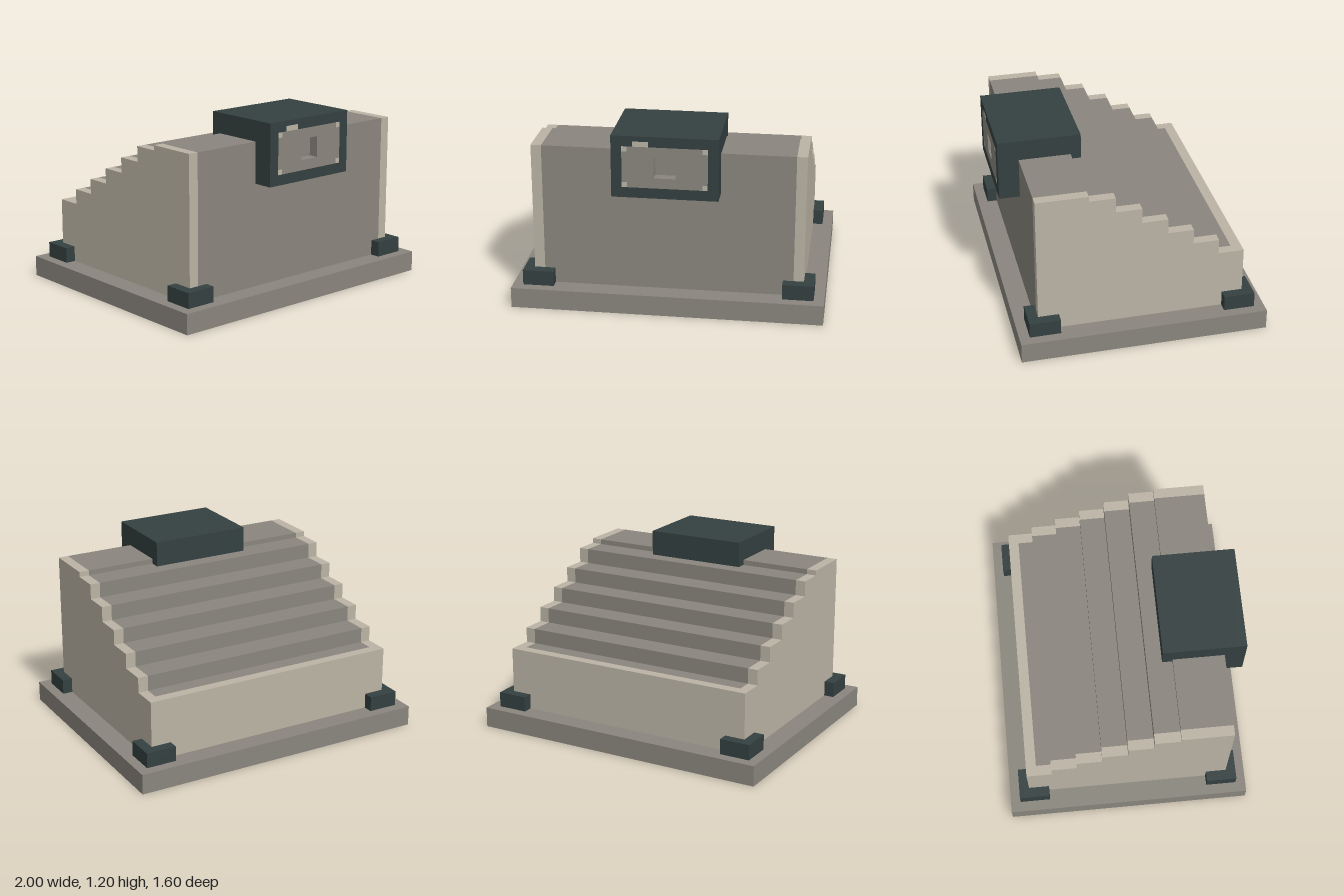
import * as THREE from 'three';

export function createModel() {
  const model = new THREE.Group();
  const stone = new THREE.MeshStandardMaterial({ name: 'grey stone', color: 0x8a867e });
  const trim = new THREE.MeshStandardMaterial({ name: 'pale stone', color: 0xbbb4a5 });
  const dark = new THREE.MeshStandardMaterial({ name: 'dark slate', color: 0x344040 });

  const add = (name, geometry, material, parent = model) => {
    const mesh = new THREE.Mesh(geometry, material);
    mesh.name = name;
    parent.add(mesh);
    return mesh;
  };
  // Box given by its lower and upper limits on each axis
  const box = (name, x0, x1, y0, y1, z0, z1, material, parent) => {
    const g = new THREE.BoxGeometry(x1 - x0, y1 - y0, z1 - z0);
    g.translate((x0 + x1) / 2, (y0 + y1) / 2, (z0 + z1) / 2);
    return add(name, g, material, parent);
  };
  const points = (list) => list.map(([x, y]) => new THREE.Vector2(x, y));

  // Base slab
  const baseTop = 0.1333;
  box('base', -1, 1, 0, baseTop, -0.8, 0.8, stone);

  // Stepped body: tall at the front, going down towards the back
  const treads = [1.0667, 1.0333, 0.9333, 0.8333, 0.7333, 0.6333, 0.5333];
  const edges = [0.6667, 0.3333, 0.1667, 0, -0.1667, -0.3333, -0.5, -0.6667];
  const steppedBlock = (name, x0, x1, backZ, material) => {
    const outline = [[-edges[0], baseTop]];
    treads.forEach((y, i) => {
      const end = Math.max(edges[i + 1], backZ);
      outline.push([-edges[i], y], [-end, y]);
    });
    outline.push([-backZ, baseTop]);
    const g = new THREE.ExtrudeGeometry(new THREE.Shape(points(outline)), {
      depth: x1 - x0, bevelEnabled: false,
    });
    g.rotateY(Math.PI / 2).translate(x0, 0, 0);
    return add(name, g, material);
  };
  steppedBlock('stairCore', -0.8, 0.8, -0.6, stone);
  steppedBlock('leftSideWall', 0.8, 0.8667, -0.6667, trim);
  steppedBlock('rightSideWall', -0.8667, -0.8, -0.6667, trim);
  box('backWall', -0.8, 0.8, baseTop, 0.5333, -0.6667, -0.6, trim);

  // Corner feet wrapped around the body
  for (const sx of [-1, 1]) {
    for (const sz of [-1, 1]) {
      const foot = add('cornerFoot', new THREE.BoxGeometry(0.2, 0.1, 0.2), dark);
      foot.position.set(sx * 0.8333, baseTop + 0.05, sz * 0.6333);
    }
  }

  // Housing that overhangs the top of the front
  const housing = new THREE.Group();
  housing.name = 'housing';
  model.add(housing);
  const faceZ = 0.7333, faceDepth = 0.0667;
  box('housingBlock', -0.3333, 0.3333, 0.8, 1.2, 0.2667, faceZ, dark, housing);

  const facePart = (name, outline, hole, material) => {
    const shape = new THREE.Shape(points(outline));
    shape.holes.push(new THREE.Path(points(hole)));
    const g = new THREE.ExtrudeGeometry(shape, { depth: faceDepth, bevelEnabled: false });
    add(name, g.translate(0, 0, faceZ), material, housing);
  };
  const rect = (x, y0, y1) => [[-x, y0], [x, y0], [x, y1], [-x, y1]];

  // Dark frame, with a notch for the tab above the panel
  facePart('frame', rect(0.3333, 0.8, 1.2), [
    [-0.2667, 0.8667], [-0.2667, 1.1333], [-0.2, 1.1333], [-0.2, 1.1667],
    [-0.1, 1.1667], [-0.1, 1.1333], [0.2667, 1.1333], [0.2667, 0.8667],
  ], dark);

  // Panel with cut corners and a square recess
  const a = 0.2333, b = 0.2667;
  facePart('panel', [
    [-a, 0.8667], [a, 0.8667], [a, 0.9], [b, 0.9], [b, 1.1], [a, 1.1],
    [a, 1.1333], [-a, 1.1333], [-a, 1.1], [-b, 1.1], [-b, 0.9], [-a, 0.9],
  ], rect(0.0667, 0.9333, 1.0667).reverse(), stone);
  box('recessBack', -0.0667, 0.0667, 0.9333, 1.0667, faceZ - 0.01, faceZ + 0.003, stone, housing);

  // Pale corner studs and tab, flush with the panel
  for (const x of [-b, a]) {
    for (const y of [0.8667, 1.1]) {
      box('panelCorner', x, x + b - a, y, y + 0.0333, faceZ, faceZ + faceDepth, trim, housing);
    }
  }
  box('panelTab', -0.2, -0.1, 1.1333, 1.1667, faceZ, faceZ + faceDepth, trim, housing);

  return model;
}
